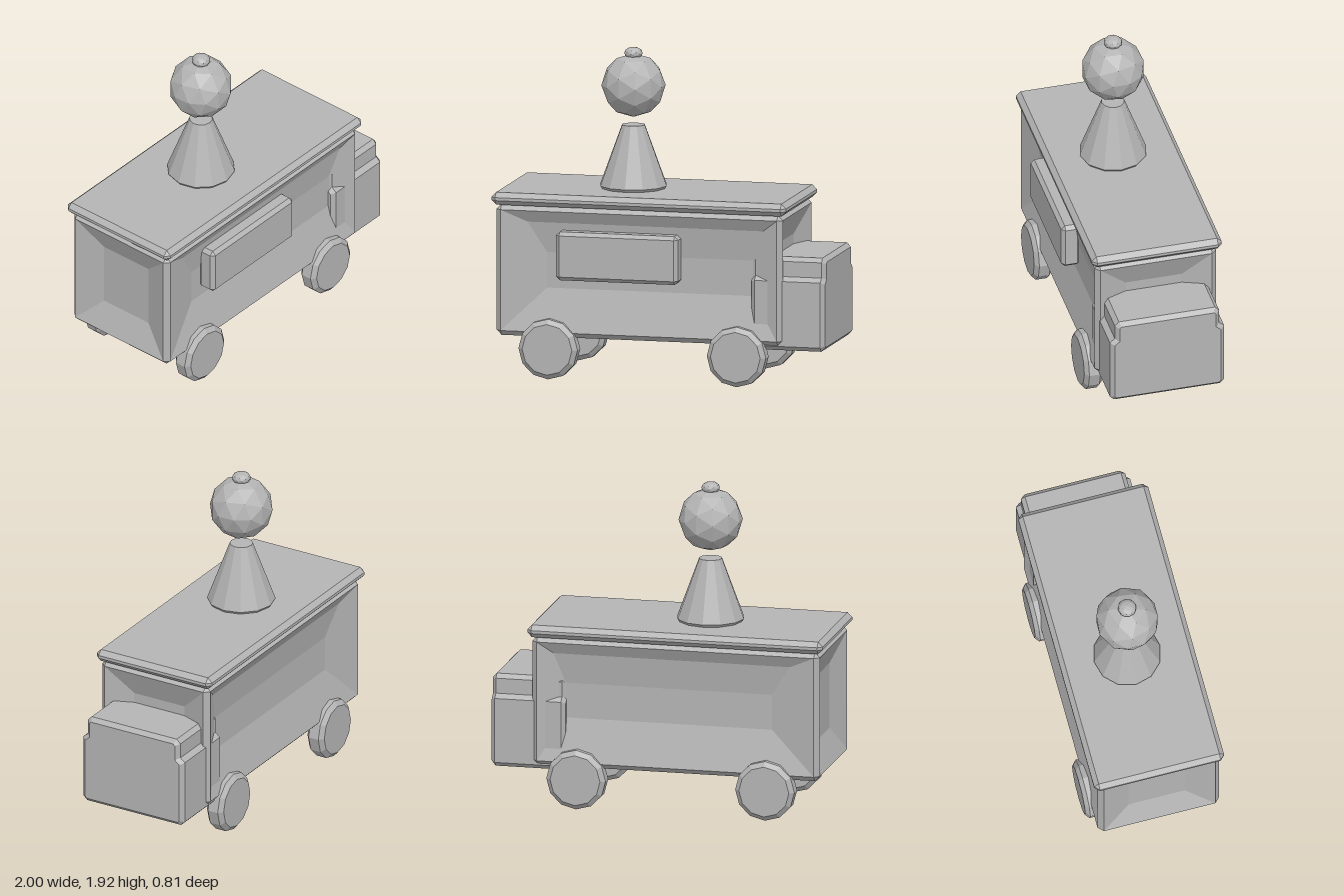
import * as THREE from 'three';
import { ConvexGeometry } from 'three/addons/geometries/ConvexGeometry.js';

const grey = new THREE.MeshStandardMaterial({ color: 0xb4b4b4, flatShading: true });
grey.name = 'plain grey';

const V = (x, y, z) => new THREE.Vector3(x, y, z);

function part(name, geometry, x = 0, y = 0, z = 0) {
  const mesh = new THREE.Mesh(geometry, grey);
  mesh.name = name;
  mesh.position.set(x, y, z);
  return mesh;
}

// Box given by its limits, with every edge cut by a chamfer
function chamferBox(x0, x1, y0, y1, z0, z1, c) {
  const h = [(x1 - x0) / 2, (y1 - y0) / 2, (z1 - z0) / 2];
  const pts = [];
  for (const sx of [-1, 1]) for (const sy of [-1, 1]) for (const sz of [-1, 1])
    for (let k = 0; k < 3; k++) {
      const p = h.map((v, i) => (i === k ? v : v - c));
      pts.push(V(p[0] * sx, p[1] * sy, p[2] * sz));
    }
  return new ConvexGeometry(pts).translate((x0 + x1) / 2, (y0 + y1) / 2, (z0 + z1) / 2);
}

// Chamfered hull whose four walls are dished inwards
function bodyGeometry() {
  const X0 = -0.975, X1 = 0.75, Y0 = 0.245, Y1 = 1.02, Z = 0.367, c = 0.03, D = 0.065;
  const lo = Y0 + c, hi = Y1 - c;
  const pos = [];
  const poly = (pts, flip) => {
    const p = flip ? [...pts].reverse() : pts;
    for (let i = 1; i < p.length - 1; i++)
      for (const v of [p[0], p[i], p[i + 1]]) pos.push(v.x, v.y, v.z);
  };

  // Wall from an outer rectangle, a bend near the top and an inner rectangle
  function dish(at, flip, o, bend, n) {
    const a = at(o[0], lo, 0), b = at(o[1], lo, 0), e = at(o[1], hi, 0), f = at(o[0], hi, 0);
    const ia = at(n[0], n[2], D), ib = at(n[1], n[2], D);
    const ie = at(n[1], n[3], D), jf = at(n[0], n[3], D);
    poly([ia, ib, ie, jf], flip);
    poly([a, b, ib, ia], flip);
    if (bend) {
      const k = 0.58;
      const mf = at(o[0] + (n[0] - o[0]) * k, bend, D * k);
      const me = at(o[1] + (n[1] - o[1]) * k, bend, D * k);
      poly([jf, ie, me, mf], flip);
      poly([mf, me, e, f], flip);
      poly([ia, jf, mf, f, a], flip);
      poly([ib, b, e, me, ie], flip);
    } else {
      poly([jf, ie, e, f], flip);
      poly([a, ia, jf, f], flip);
      poly([b, e, ie, ib], flip);
    }
  }
  for (const s of [1, -1]) {
    dish((u, v, d) => V(u, v, s * (Z - d)), s < 0, [X0 + c, X1 - c], 0.92, [-0.68, 0.56, 0.53, 0.74]);
    dish((u, v, d) => V(s > 0 ? X1 - d : X0 + d, v, -u), s < 0, [-Z + c, Z - c], 0, [-0.17, 0.17, 0.44, 0.83]);
  }

  // Corner posts, chamfers and the flat floor and top
  const ring = y => [
    V(X0 + c, y, Z), V(X1 - c, y, Z), V(X1, y, Z - c), V(X1, y, -Z + c),
    V(X1 - c, y, -Z), V(X0 + c, y, -Z), V(X0, y, -Z + c), V(X0, y, Z - c)];
  const rect = y => [V(X0 + c, y, Z - c), V(X1 - c, y, Z - c), V(X1 - c, y, -Z + c), V(X0 + c, y, -Z + c)];
  const low = ring(lo), high = ring(hi), floor = rect(Y0), top = rect(Y1);
  for (let i = 0; i < 4; i++) {
    const a = 2 * i, b = a + 1, n = (a + 2) % 8, j = (i + 1) % 4;
    poly([low[b], low[n], high[n], high[b]]);
    poly([floor[i], floor[j], low[b], low[a]]);
    poly([high[a], high[b], top[j], top[i]]);
    poly([floor[j], low[n], low[b]]);
    poly([high[b], high[n], top[j]]);
  }
  poly(floor, true);
  poly(top);
  const g = new THREE.BufferGeometry();
  g.setAttribute('position', new THREE.Float32BufferAttribute(pos, 3));
  g.computeVertexNormals();
  return g;
}

// Cab section with a shoulder, drawn out along x
function cabGeometry() {
  const half = [[0.32, 0.22], [0.345, 0.245], [0.345, 0.63], [0.315, 0.655], [0.315, 0.745], [0.29, 0.77]];
  const outline = [...half, ...half.map(([z, y]) => [-z, y]).reverse()];
  const shape = new THREE.Shape(outline.map(([z, y]) => new THREE.Vector2(z, y)));
  const c = 0.024;
  const g = new THREE.ExtrudeGeometry(shape, {
    depth: 0.445 - 2 * c, bevelEnabled: true, bevelSegments: 1,
    bevelSize: c, bevelOffset: -c, bevelThickness: c });
  return g.rotateY(Math.PI / 2).translate(0.555 + c, 0, -0.003);
}

// Closed lathe from radius and height pairs
const lathe = (pts, sides) =>
  new THREE.LatheGeometry(pts.map(([r, y]) => new THREE.Vector2(r, y)), sides);

export function createModel() {
  const model = new THREE.Group();
  model.name = 'iceCreamTruck';

  model.add(part('body', bodyGeometry()));
  model.add(part('roof', chamferBox(-1, 0.775, 1.018, 1.092, -0.395, 0.39, 0.028)));
  model.add(part('cab', cabGeometry()));
  model.add(part('servingHatch', chamferBox(-0.605, 0.13, 0.59, 0.877, 0.29, 0.405, 0.022)));

  // Wheels with chamfered rims
  const wheel = lathe([[0, -0.057], [0.15, -0.057], [0.178, -0.033],
    [0.178, 0.033], [0.15, 0.057], [0, 0.057]], 12).rotateX(Math.PI / 2);
  for (const [end, x] of [['rear', -0.655], ['front', 0.48]])
    for (const [side, s] of [['Left', -1], ['Right', 1]])
      model.add(part(end + side + 'Wheel', wheel, x, 0.178, s * 0.347));

  // Cone, scoop and cherry on the roof
  const cx = -0.237;
  model.add(part('cone', lathe([[0, 1.088], [0.185, 1.088], [0.2, 1.108], [0.068, 1.465], [0, 1.465]], 12), cx));
  const scoop = part('scoop', new THREE.IcosahedronGeometry(0.188, 1), cx, 1.698, 0);
  scoop.rotation.y = 0.3;
  model.add(scoop);
  const cherry = part('cherry', new THREE.IcosahedronGeometry(0.055, 1), cx, 1.888, 0);
  cherry.scale.y = 0.66;
  model.add(cherry);

  return model;
}
